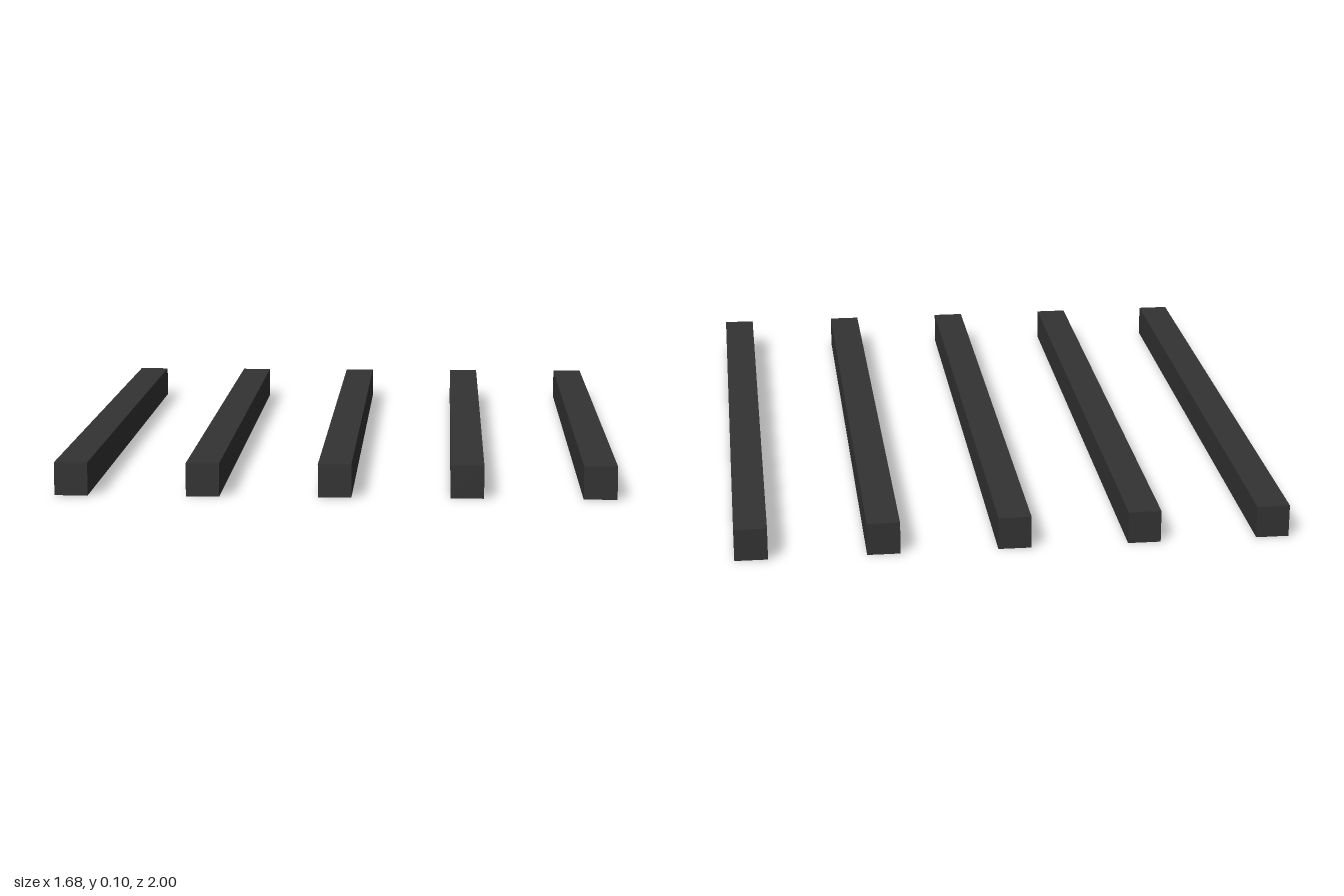
import * as THREE from 'three';

const BAR_COUNT = 5;
const BAR_SIZE = 0.1; // square cross-section
const BAR_LENGTH = 2;
const SPACING = 0.395; // between bar centres

export function createModel() {
  const model = new THREE.Group();
  model.name = 'parallelBars';

  const material = new THREE.MeshStandardMaterial({ color: 0x333333 });
  const geometry = new THREE.BoxGeometry(BAR_SIZE, BAR_SIZE, BAR_LENGTH);

  // Evenly spaced bars running front to back
  for (let i = 0; i < BAR_COUNT; i++) {
    const bar = new THREE.Mesh(geometry, material);
    bar.name = `bar${i + 1}`;
    bar.position.set((i - (BAR_COUNT - 1) / 2) * SPACING, BAR_SIZE / 2, 0);
    model.add(bar);
  }

  return model;
}
